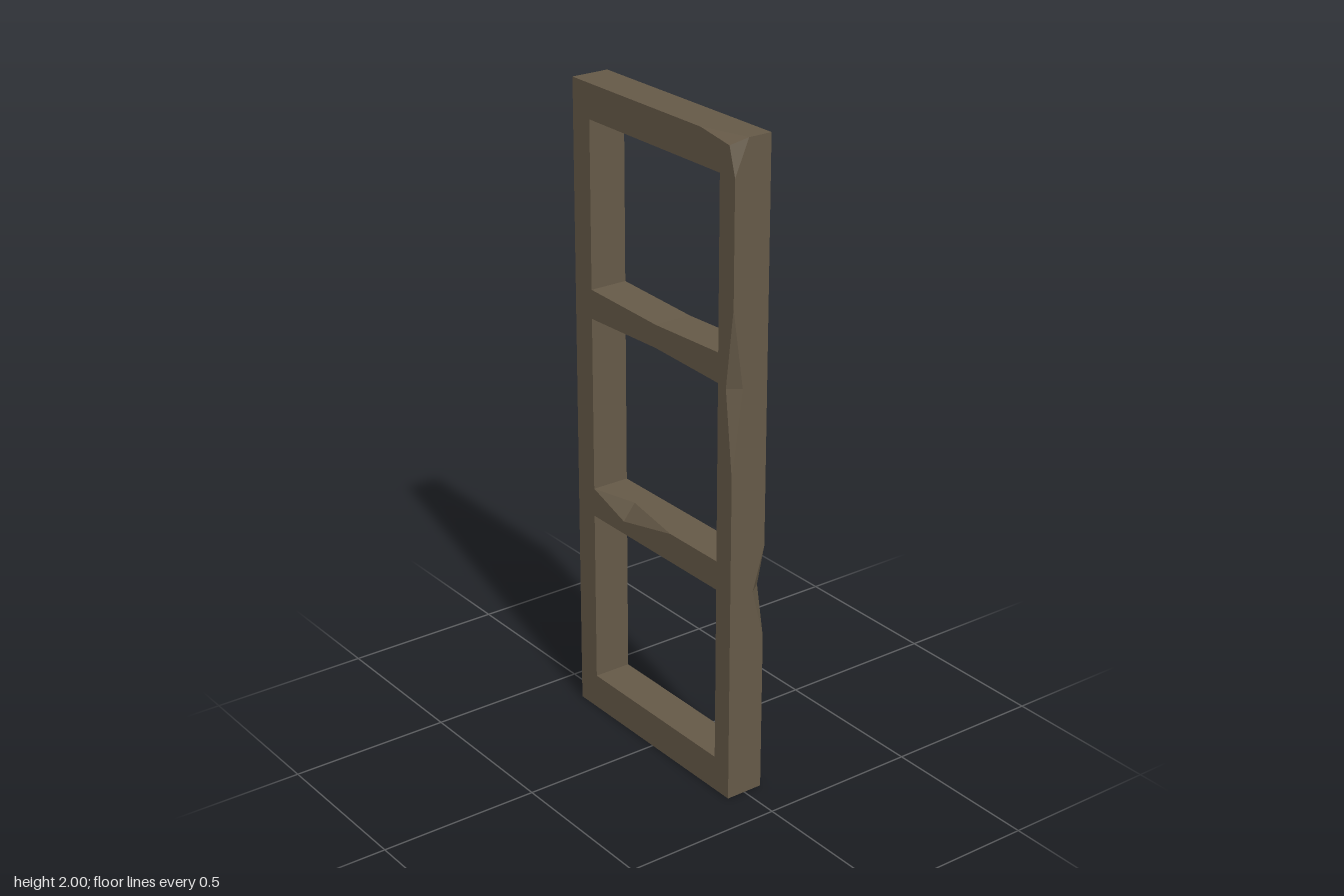
import * as THREE from 'three';

const DEPTH = 0.06;                     // half thickness
const OUT_L = -0.37, OUT_R = 0.37;      // outer sides
const IN_L = -0.29, IN_R = 0.305;       // sides of the openings

// Skins a row of matching rings (Vector3, counter-clockwise seen from the far end) and caps it.
function loft(rings) {
  const pos = [];
  const tri = (a, b, c) => {
    const area = b.clone().sub(a).cross(c.clone().sub(a)).length();
    if (area > 1e-7) for (const p of [a, b, c]) pos.push(p.x, p.y, p.z);
  };
  const n = rings[0].length, first = rings[0], last = rings[rings.length - 1];
  for (let i = 0; i < rings.length - 1; i++) {
    for (let j = 0; j < n; j++) {
      const k = (j + 1) % n;
      const a = rings[i][j], b = rings[i][k], c = rings[i + 1][k], d = rings[i + 1][j];
      tri(a, b, d);
      tri(b, c, d);
    }
  }
  for (let j = 1; j < n - 1; j++) {
    tri(first[0], first[j + 1], first[j]);
    tri(last[0], last[j], last[j + 1]);
  }
  const geo = new THREE.BufferGeometry();
  geo.setAttribute('position', new THREE.Float32BufferAttribute(pos, 3));
  geo.computeVertexNormals();
  return geo;
}

// Horizontal bar; stations are [x, bottom, top, chip height, chip depth] on the top front edge.
function rail(stations) {
  return loft(stations.map(([x, lo, hi, cy = 0, cz = 0]) => [
    [lo, -DEPTH], [hi, -DEPTH], [hi, DEPTH - cz], [hi - cy, DEPTH], [lo, DEPTH],
  ].map(([y, z]) => new THREE.Vector3(x, y, z))));
}

// Upright; stations are [y, front chip width, front chip depth, back chip width, back chip depth] on the outer edges.
function stile(inner, outer, stations) {
  return loft(stations.map(([y, fx = 0, fz = 0, bx = 0, bz = 0]) => [
    [-DEPTH, inner], [DEPTH, inner], [DEPTH, outer - fx],
    [DEPTH - fz, outer], [bz - DEPTH, outer], [-DEPTH, outer - bx],
  ].map(([z, x]) => new THREE.Vector3(x, y, z))));
}

export function createModel() {
  const group = new THREE.Group();
  group.name = 'windowFrame';
  const wood = new THREE.MeshStandardMaterial({ color: 0x665a48 });
  wood.name = 'weatheredWood';
  wood.flatShading = true;

  const add = (name, geo) => {
    const mesh = new THREE.Mesh(geo, wood);
    mesh.name = name;
    group.add(mesh);
  };

  // outer frame, with a broken upper corner and two notches in one upright
  add('bottomRail', rail([[OUT_L, 0, 0.11], [OUT_R, 0, 0.11]]));
  add('topRail', rail([
    [OUT_L, 1.895, 2], [0.22, 1.895, 2],
    [0.345, 1.895, 2, 0.02, 0.0375], [OUT_R, 1.895, 2, 0.105, 0.045],
  ]));
  add('leftStile', stile(IN_R, OUT_R, [
    [0.11], [0.5], [0.655, 0, 0, 0.03, 0.04], [0.79],
    [1.03], [1.29, 0.03, 0.035], [1.53], [1.895],
  ]));
  const plain = new THREE.BoxGeometry(IN_L - OUT_L, 1.785, 2 * DEPTH);
  plain.translate((IN_L + OUT_L) / 2, 1.0025, 0);
  add('rightStile', plain);

  // cross bars: one chipped on its top edge, one worn thin in the middle
  add('lowerCrossbar', rail([
    [IN_L, 0.66, 0.75], [-0.14, 0.66, 0.75, 0.05, 0.04], [0.09, 0.66, 0.75], [IN_R, 0.66, 0.75],
  ]));
  add('upperCrossbar', rail([
    [IN_L, 1.295, 1.385], [0.02, 1.305, 1.375], [IN_R, 1.295, 1.385],
  ]));

  return group;
}
